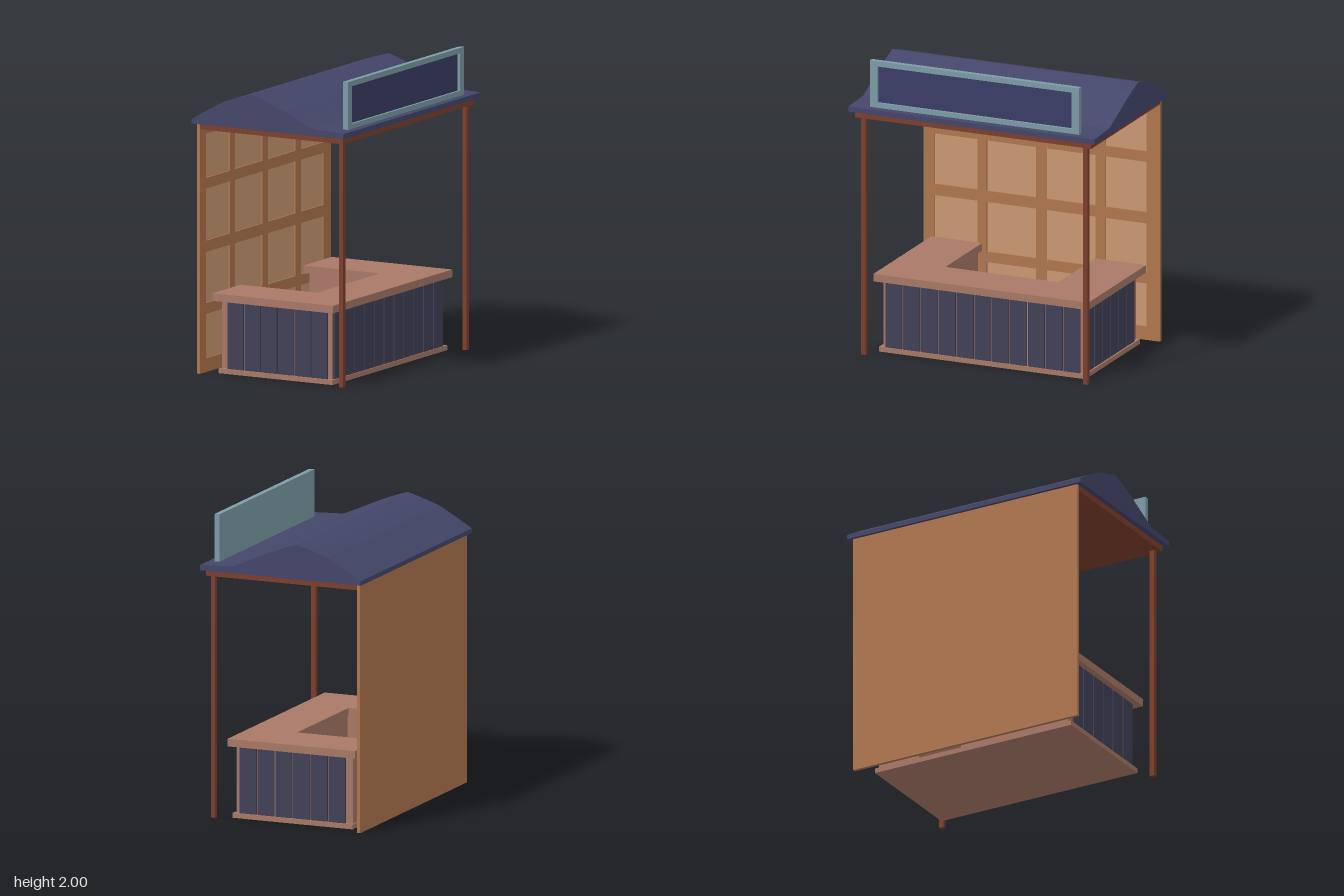
import * as THREE from 'three';

const mat = (color) => new THREE.MeshStandardMaterial({ color, flatShading: true });

export function createModel() {
  const model = new THREE.Group();
  const M = {
    roof: mat(0x44466a), trim: mat(0x7c3f2d), frame: mat(0xb0774f), panel: mat(0xca9872),
    counter: mat(0xa87866), slat: mat(0x424156), teal: mat(0x7c9ca6), sign: mat(0x3a3e66),
  };

  const add = (name, geo, material, parent = model) => {
    const mesh = new THREE.Mesh(geo, material);
    mesh.name = name;
    parent.add(mesh);
    return mesh;
  };
  // Box given by its limits on each axis
  const box = (name, x0, x1, y0, y1, z0, z1, material, parent) => {
    const g = new THREE.BoxGeometry(x1 - x0, y1 - y0, z1 - z0);
    g.translate((x0 + x1) / 2, (y0 + y1) / 2, (z0 + z1) / 2);
    return add(name, g, material, parent);
  };
  const shapeOf = (pts) => new THREE.Shape(pts.map((p) => new THREE.Vector2(...p)));
  const rect = (a0, a1, b0, b1) => [[a0, b0], [a1, b0], [a1, b1], [a0, b1]];
  const extrude = (shape, depth) => new THREE.ExtrudeGeometry(shape, { depth, bevelEnabled: false });

  // Pierced plate in the z-y plane, from x0 to x1; holes are [z0, z1, y0, y1]
  const plate = (name, x0, x1, outer, holes, material, parent) => {
    const flip = ([z0, z1, y0, y1]) => rect(-z1, -z0, y0, y1);
    const s = shapeOf(flip(outer));
    holes.forEach((h) => s.holes.push(shapeOf(flip(h))));
    const g = extrude(s, x1 - x0);
    g.rotateY(Math.PI / 2);
    g.translate(x0, 0, 0);
    return add(name, g, material, parent);
  };

  // Back wall: solid board behind a grid frame
  const wall = new THREE.Group();
  wall.name = 'backWall';
  model.add(wall);
  const cols = [[0.455, 0.76], [0.04, 0.39], [-0.38, -0.03], [-0.74, -0.45]];
  const rows = [[0.1, 0.39], [0.46, 0.795], [0.87, 1.21], [1.28, 1.57]];
  const cells = cols.flatMap((c) => rows.map((r) => [...c, ...r]));
  box('wallBoard', -0.55, -0.541, 0.01, 1.65, -0.835, 0.835, M.frame, wall);
  plate('wallFrame', -0.541, -0.528, [-0.835, 0.835, 0.01, 1.65], cells, M.frame, wall);
  cells.forEach(([z0, z1, y0, y1]) => box('wallPanel', -0.542, -0.538, y0, y1, z0, z1, M.panel, wall));

  // Two posts and the ceiling
  for (const s of [-1, 1]) {
    box('post', 0.49, 0.52, 0.01, 1.62, s * 0.785 - 0.016, s * 0.785 + 0.016, M.trim);
  }
  box('ceiling', -0.528, 0.54, 1.61, 1.655, -0.835, 0.835, M.trim);

  // Curved roof
  const roof = extrude(shapeOf([
    [-0.57, 1.65], [0.565, 1.65], [0.565, 1.685], [0.335, 1.695], [0.22, 1.745], [0.11, 1.795],
    [0, 1.84], [-0.115, 1.88], [-0.22, 1.85], [-0.34, 1.81], [-0.45, 1.75], [-0.57, 1.68],
  ]), 1.74);
  roof.translate(0, 0, -0.87);
  add('roof', roof, M.roof);

  // Sign board with a raised rim
  const sign = new THREE.Group();
  sign.name = 'signBoard';
  model.add(sign);
  box('signBack', 0.485, 0.5, 1.685, 2, -0.74, 0.74, M.teal, sign);
  plate('signRim', 0.5, 0.52, [-0.74, 0.74, 1.685, 2], [[-0.685, 0.685, 1.72, 1.965]], M.teal, sign);
  box('signFace', 0.495, 0.503, 1.72, 1.965, -0.685, 0.685, M.sign, sign);

  // U-shaped counter, open towards the wall
  const counter = new THREE.Group();
  counter.name = 'counter';
  model.add(counter);
  const uShape = (name, x0, x1, zo, xi, zi, y0, y1) => {
    const g = extrude(shapeOf([
      [x0, -zo], [x1, -zo], [x1, zo], [x0, zo], [x0, zi], [xi, zi], [xi, -zi], [x0, -zi],
    ]), y1 - y0);
    g.rotateX(-Math.PI / 2);
    g.translate(0, y0, 0);
    return add(name, g, M.counter, counter);
  };
  box('counterBase', -0.45, 0.4, 0.005, 0.037, -0.73, 0.73, M.counter, counter);
  uShape('counterBody', -0.44, 0.38, 0.705, 0.1, 0.41, 0.037, 0.48);
  uShape('counterTop', -0.48, 0.42, 0.76, 0.09, 0.4, 0.48, 0.53);

  // Dark cladding boards with narrow gaps
  const pitch = 0.126, gap = 0.01;
  for (let i = 0; i < 11; i++) {
    const z = (i - 5) * pitch, h = (pitch - gap) / 2;
    box('longSlat', 0.375, 0.393, 0.037, 0.48, z - h, z + h, M.slat, counter);
  }
  for (let i = 0; i < 6; i++) {
    const x = -0.39 + i * 0.1255;
    for (const s of [-1, 1]) {
      box('sideSlat', x, x + 0.1255 - gap, 0.037, 0.48, s * 0.709 - 0.01, s * 0.709 + 0.01, M.slat, counter);
    }
  }

  return model;
}
